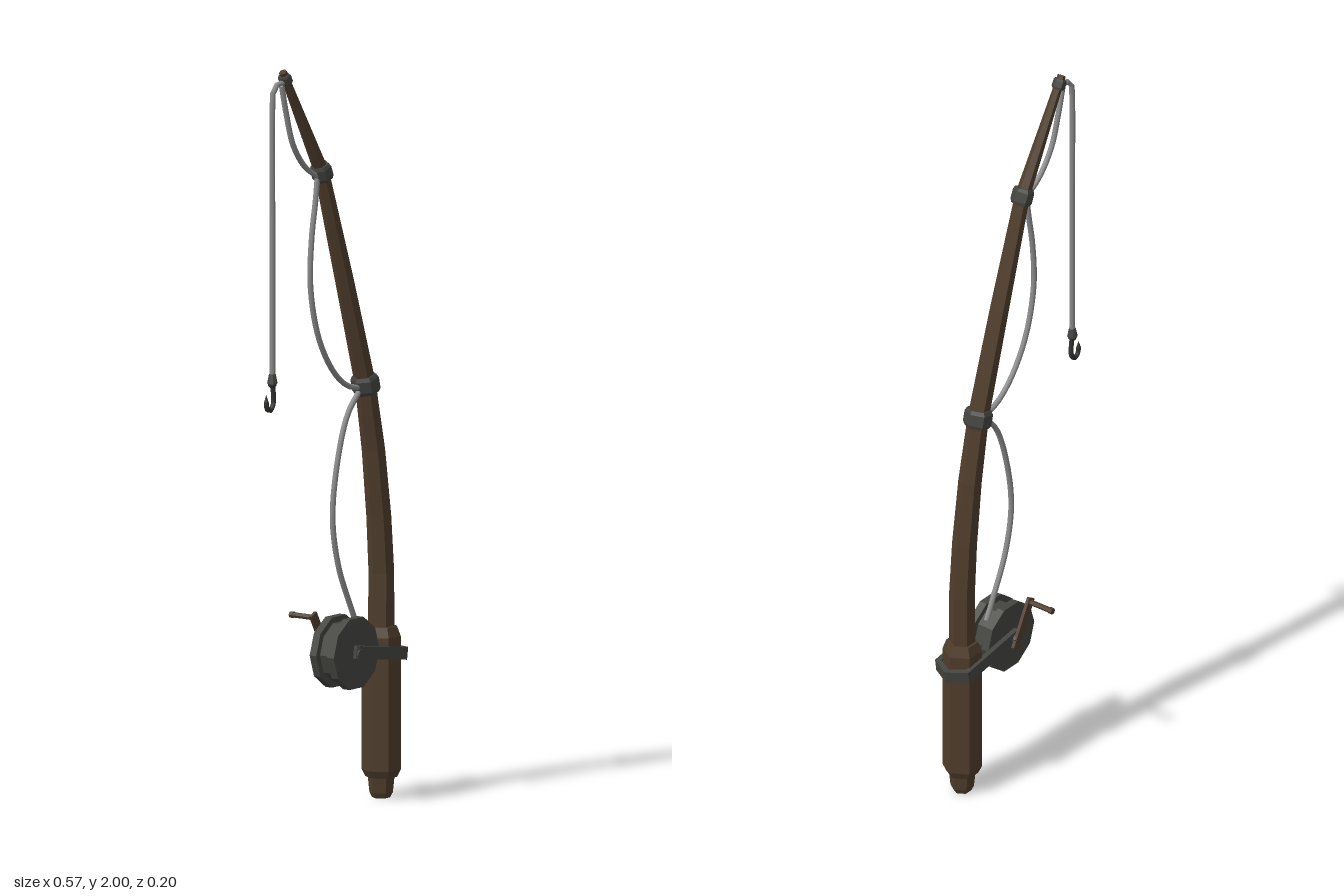
import * as THREE from 'three';

const wood = new THREE.MeshStandardMaterial({ color: 0x4f3d2c, flatShading: true });
const metal = new THREE.MeshStandardMaterial({ color: 0x444440, flatShading: true });
const cord = new THREE.MeshStandardMaterial({ color: 0x8c8c8c });
const iron = new THREE.MeshStandardMaterial({ color: 0x333331 });
const Z = 0.041; // the rod lies in this plane

function add(parent, name, geometry, material) {
  const mesh = new THREE.Mesh(geometry, material);
  mesh.name = name;
  parent.add(mesh);
  return mesh;
}

// Hexagonal loft through sections [x, y, radius] in the rod plane
function hexLoft(sections) {
  const n = 6, pos = [], idx = [];
  sections.forEach(([x, y, r], s) => {
    const a = sections[Math.max(s - 1, 0)], b = sections[Math.min(s + 1, sections.length - 1)];
    const len = Math.hypot(b[0] - a[0], b[1] - a[1]);
    const ux = (b[1] - a[1]) / len, uy = -(b[0] - a[0]) / len;
    for (let i = 0; i < n; i++) {
      const t = i / n * Math.PI * 2, c = r * Math.cos(t);
      pos.push(x + ux * c, y + uy * c, Z + r * Math.sin(t));
    }
  });
  const last = (sections.length - 1) * n;
  for (let s = 0; s < last; s += n) {
    for (let i = 0; i < n; i++) {
      const j = (i + 1) % n;
      idx.push(s + i, s + n + i, s + n + j, s + i, s + n + j, s + j);
    }
  }
  for (let i = 1; i < n - 1; i++) idx.push(0, i, i + 1, last, last + i + 1, last + i);
  const g = new THREE.BufferGeometry();
  g.setAttribute('position', new THREE.Float32BufferAttribute(pos, 3));
  g.setIndex(idx);
  const flat = g.toNonIndexed();
  flat.computeVertexNormals();
  return flat;
}

function tube(points, radius, segments, sides = 8) {
  const curve = new THREE.CatmullRomCurve3(points.map(([x, y]) => new THREE.Vector3(x, y, Z)), false, 'centripetal');
  return new THREE.TubeGeometry(curve, segments, radius, sides);
}

// Bevelled collar centred at (x, y), leaning along direction (dx, dy)
function collar(x, y, dx, dy, r, h) {
  const l = Math.hypot(dx, dy);
  return hexLoft([[-0.5, 0.85], [-0.3, 1], [0.3, 1], [0.5, 0.85]]
    .map(([t, k]) => [x + dx / l * h * t, y + dy / l * h * t, r * k]));
}

export function createModel() {
  const model = new THREE.Group();
  model.name = 'fishingRod';

  // Rod and handle
  add(model, 'rod', hexLoft([[0.213, 0.42, 0.035], [0.214, 0.6, 0.034], [0.203, 0.75, 0.033],
    [0.18, 0.93, 0.031], [0.145, 1.11, 0.028], [0.055, 1.4, 0.025], [-0.042, 1.7, 0.02],
    [-0.209, 1.99, 0.011]]), wood);
  add(model, 'handle', hexLoft([[0.213, 0.055, 0.042], [0.213, 0.075, 0.052],
    [0.213, 0.43, 0.052], [0.213, 0.457, 0.042]]), wood);
  add(model, 'buttCap', hexLoft([[0.213, 0, 0.024], [0.213, 0.014, 0.031], [0.213, 0.06, 0.036]]), wood);

  // Collars that guide the line
  add(model, 'lowerCollar', collar(0.146, 1.11, -0.25, 1, 0.038, 0.05), metal);
  add(model, 'middleCollar', collar(-0.042, 1.7, -0.42, 1, 0.029, 0.045), metal);
  add(model, 'tipCollar', collar(-0.198, 1.969, -0.57, 1, 0.018, 0.028), metal);

  // Bracket: a U around the handle whose arms carry the reel
  const u = new THREE.Shape([[-0.173, 0.05], [-0.165, 0.055], [0.043, 0.055], [0.073, 0], [0.043, -0.055],
    [-0.165, -0.055], [-0.173, -0.05], [-0.173, -0.041], [0.034, -0.041], [0.057, 0],
    [0.034, 0.041], [-0.173, 0.041]].map(p => new THREE.Vector2(...p)));
  const bracketGeo = new THREE.ExtrudeGeometry(u, { depth: 0.034, bevelEnabled: false });
  bracketGeo.translate(0, 0, -0.017).rotateX(-Math.PI / 2).rotateZ(-0.15);
  add(model, 'bracket', bracketGeo, metal).position.set(0.213, 0.389, Z);

  // Reel
  const reel = new THREE.Group();
  reel.name = 'reel';
  reel.position.set(0.056, 0.409, Z);
  model.add(reel);
  const disc = (name, r, h, z, sides, mat) => {
    const g = new THREE.CylinderGeometry(r, r, h, sides).rotateX(Math.PI / 2).rotateZ(Math.PI / 10);
    add(reel, name, g, mat).position.z = z;
  };
  for (const s of [-1, 1]) disc('reelFlange', 0.098, 0.022, s * 0.029, 10, metal);
  disc('spool', 0.082, 0.05, 0, 10, metal);
  disc('axle', 0.014, 0.122, -0.004, 8, metal);

  // Crank on the back side
  const crank = new THREE.Group();
  crank.name = 'crank';
  crank.rotation.z = 0.5;
  reel.add(crank);
  add(crank, 'crankArm', new THREE.BoxGeometry(0.024, 0.14, 0.009), wood).position.set(0, 0.045, -0.062);
  const grip = add(crank, 'crankGrip', new THREE.CylinderGeometry(0.0075, 0.0075, 0.08, 6).rotateX(Math.PI / 2), wood);
  grip.position.set(0, 0.104, -0.1);
  const knob = add(crank, 'crankGripEnd', new THREE.CylinderGeometry(0.009, 0.009, 0.012, 6).rotateX(Math.PI / 2), wood);
  knob.position.set(0, 0.104, -0.134);

  // Line sagging between the collars, then hanging from the tip
  const spans = [
    [[0.11, 0.47], [0.08, 0.53], [0.03, 0.64], [0.005, 0.77], [0.026, 0.92], [0.07, 1.04], [0.128, 1.102]],
    [[0.128, 1.102], [0.07, 1.115], [0.01, 1.16], [-0.055, 1.26], [-0.09, 1.4], [-0.085, 1.53],
      [-0.068, 1.63], [-0.06, 1.69]],
    [[-0.06, 1.69], [-0.115, 1.725], [-0.165, 1.79], [-0.195, 1.88], [-0.214, 1.955]],
    [[-0.205, 1.962], [-0.232, 1.96], [-0.249, 1.945], [-0.253, 1.91], [-0.253, 1.55], [-0.253, 1.18]],
  ];
  for (const span of spans) add(model, 'line', tube(span, 0.0075, 28), cord);

  // Hook with its weight
  add(model, 'hookWeight', new THREE.CylinderGeometry(0.009, 0.014, 0.025, 8), metal).position.set(-0.254, 1.18, Z);
  add(model, 'hookEye', new THREE.SphereGeometry(0.012, 8, 6), iron).position.set(-0.254, 1.166, Z);
  add(model, 'hook', tube([[-0.253, 1.165], [-0.249, 1.135], [-0.25, 1.112], [-0.263, 1.097],
    [-0.277, 1.104], [-0.28, 1.122]], 0.007, 16, 6), iron);
  const barb = add(model, 'hookPoint', new THREE.ConeGeometry(0.007, 0.02, 6), iron);
  barb.position.set(-0.28, 1.13, Z);

  return model;
}
